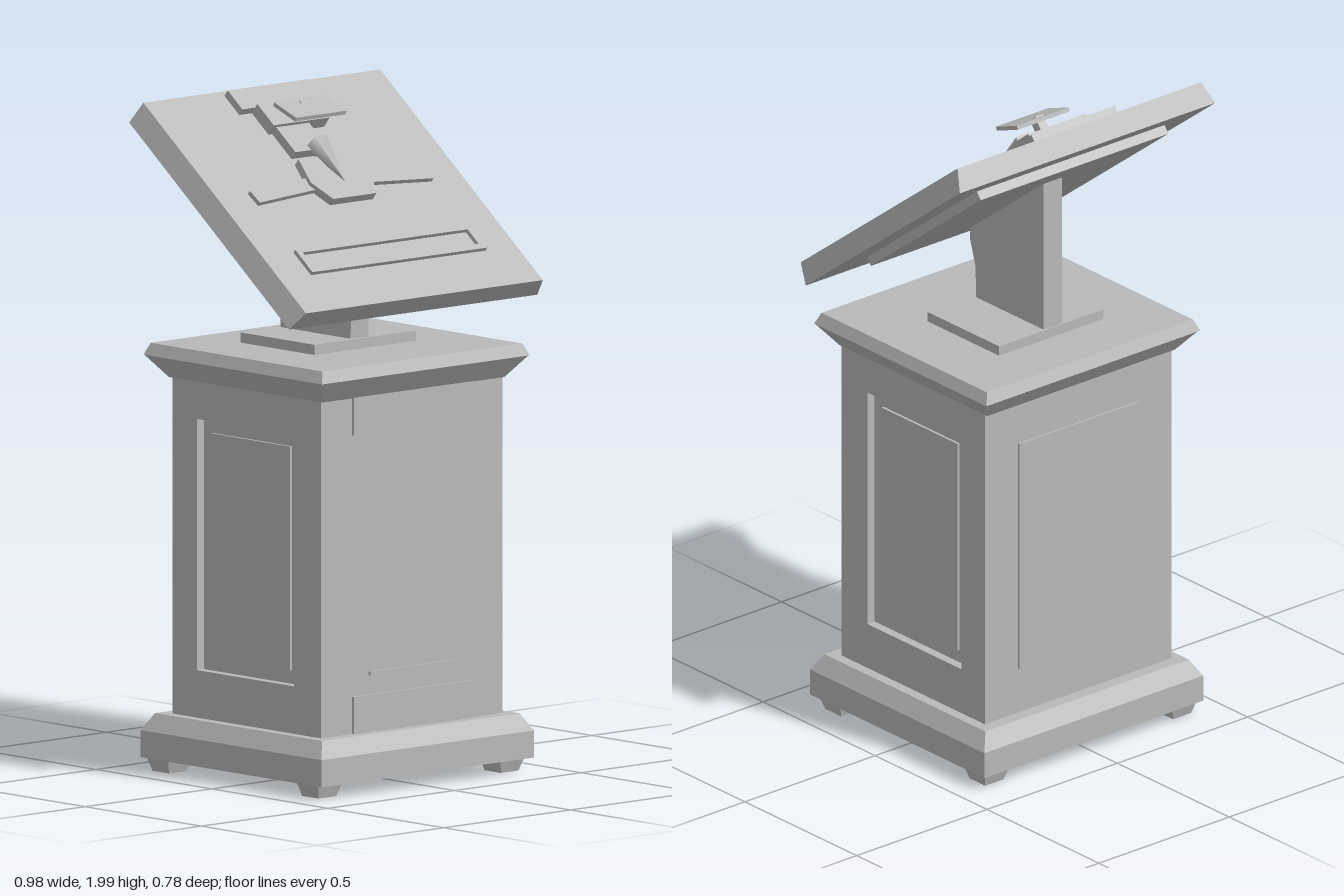
import * as THREE from 'three';

export function createModel() {
  const model = new THREE.Group();
  model.name = 'lectern';
  const grey = new THREE.MeshStandardMaterial({ color: 0xb9b9b9 });
  grey.name = 'light grey';

  const add = (name, geometry, x, y, z, parent = model) => {
    const m = new THREE.Mesh(geometry, grey);
    m.name = name;
    m.position.set(x, y, z);
    parent.add(m);
    return m;
  };
  const box = (name, w, h, d, x, y, z, parent) =>
    add(name, new THREE.BoxGeometry(w, h, d), x, y, z, parent);

  // Box standing on y0 whose top has its own width and depth
  const taper = (name, w0, d0, w1, d1, y0, y1, x, z, parent) => {
    const g = new THREE.BoxGeometry(1, y1 - y0, 1);
    const p = g.attributes.position;
    for (let i = 0; i < p.count; i++) {
      const top = p.getY(i) > 0;
      p.setX(i, p.getX(i) * (top ? w1 : w0));
      p.setZ(i, p.getZ(i) * (top ? d1 : d0));
    }
    g.computeVertexNormals();
    return add(name, g, x, (y0 + y1) / 2, z, parent);
  };

  // Extrude a (z, y) outline along x, centred on x
  const shapeOf = pts => new THREE.Shape(pts.map(p => new THREE.Vector2(...p)));
  const sideways = (name, shape, width, x) => {
    const g = new THREE.ExtrudeGeometry(shape, { depth: width, bevelEnabled: false });
    g.translate(0, 0, -width / 2);
    g.rotateY(-Math.PI / 2);
    return add(name, g, x, 0, 0);
  };
  const rect = (a, b, c, d) => [[a, b], [c, b], [c, d], [a, d]];

  // Feet and plinth
  for (const x of [-0.36, 0.36])
    for (const z of [-0.335, 0.31]) taper('foot', 0.07, 0.07, 0.1, 0.1, 0.01, 0.06, x, z);
  box('plinth', 0.84, 0.08, 0.78, 0, 0.09, -0.005);
  taper('plinthMoulding', 0.84, 0.78, 0.78, 0.72, 0.13, 0.18, 0, -0.005);

  // Cabinet with recessed side panels
  box('cabinetCore', 0.66, 1.0, 0.64, 0, 0.68, -0.005);
  for (const s of [-1, 1]) {
    const frame = shapeOf(rect(-0.325, 0.18, 0.315, 1.18));
    frame.holes.push(shapeOf(rect(-0.22, 0.32, 0.2, 1.06)));
    sideways('sideFrame', frame, 0.03, s * 0.343);
    box('sideInnerPanel', 0.012, 0.66, 0.34, s * 0.332, 0.69, -0.01);
  }

  // Thin details on the front and back
  box('frontUpperPanel', 0.47, 0.12, 0.012, 0, 1.12, 0.317);
  box('frontLowerPanel', 0.47, 0.11, 0.012, 0, 0.235, 0.317);
  box('frontSlotTrim', 0.34, 0.012, 0.012, 0, 0.352, 0.317);
  box('backPanel', 0.46, 0.72, 0.01, 0, 0.68, -0.326);

  // Flared top of the cabinet
  taper('capCove', 0.72, 0.66, 0.82, 0.76, 1.17, 1.235, 0, -0.008);
  taper('capSlab', 0.82, 0.77, 0.79, 0.74, 1.235, 1.27, 0, -0.008);

  // Neck with its mounting plate
  box('neckPlate', 0.4, 0.03, 0.32, 0, 1.285, -0.045);
  sideways('neck', shapeOf([[-0.2, 1.27], [0.1, 1.27], [0.105, 1.4], [0.13, 1.48],
    [0.13, 1.55], [-0.2, 1.81]]), 0.07, -0.01);

  // Sloping reading desk; local y = 0 is its upper face
  const desk = new THREE.Group();
  desk.name = 'readingDesk';
  desk.position.set(0, 1.72, 0.02);
  desk.rotation.x = 0.657;
  model.add(desk);
  taper('deskBoard', 0.98, 0.87, 0.935, 0.885, -0.07, 0, 0, 0, desk);
  box('deskBackPlate', 0.72, 0.03, 0.62, 0, -0.083, -0.03, desk);

  // Raised frame of the long ledge
  const ledge = shapeOf(rect(-0.345, -0.3, 0.345, -0.205));
  ledge.holes.push(shapeOf(rect(-0.325, -0.28, 0.325, -0.22)));
  const ledgeGeo = new THREE.ExtrudeGeometry(ledge, { depth: 0.012, bevelEnabled: false });
  ledgeGeo.rotateX(-Math.PI / 2);
  add('ledgeFrame', ledgeGeo, 0, 0, 0, desk);

  // Plate in the middle with an arm to each side
  const plate = new THREE.ExtrudeGeometry(shapeOf([[-0.12, 0.03], [-0.085, -0.045], [0.085, -0.045],
    [0.12, 0.03], [0.1, 0.125], [-0.1, 0.125]]), { depth: 0.025, bevelEnabled: false });
  plate.rotateX(-Math.PI / 2);
  add('centrePlate', plate, 0, 0, 0, desk);
  for (const s of [-1, 1]) {
    const arm = box('plateArm', 0.24, 0.015, 0.05, s * 0.225, 0.006, -0.025, desk);
    arm.rotation.y = -s * 0.08;
  }

  // Microphone cluster near the upper edge
  box('micMount', 0.32, 0.025, 0.08, 0, 0.01, -0.385, desk);
  box('micBody', 0.22, 0.04, 0.09, 0, 0.018, -0.3, desk);
  box('micGrip', 0.13, 0.03, 0.12, -0.03, 0.013, -0.21, desk);
  const stem = add('micStem', new THREE.ConeGeometry(0.04, 0.16, 5), 0, 0.03, -0.09, desk);
  stem.rotation.x = Math.PI / 2;
  const head = box('micHead', 0.2, 0.012, 0.1, 0.01, 0.085, -0.26, desk);
  head.rotation.x = -0.3;
  box('micPost', 0.03, 0.06, 0.03, 0.01, 0.055, -0.28, desk);

  return model;
}
